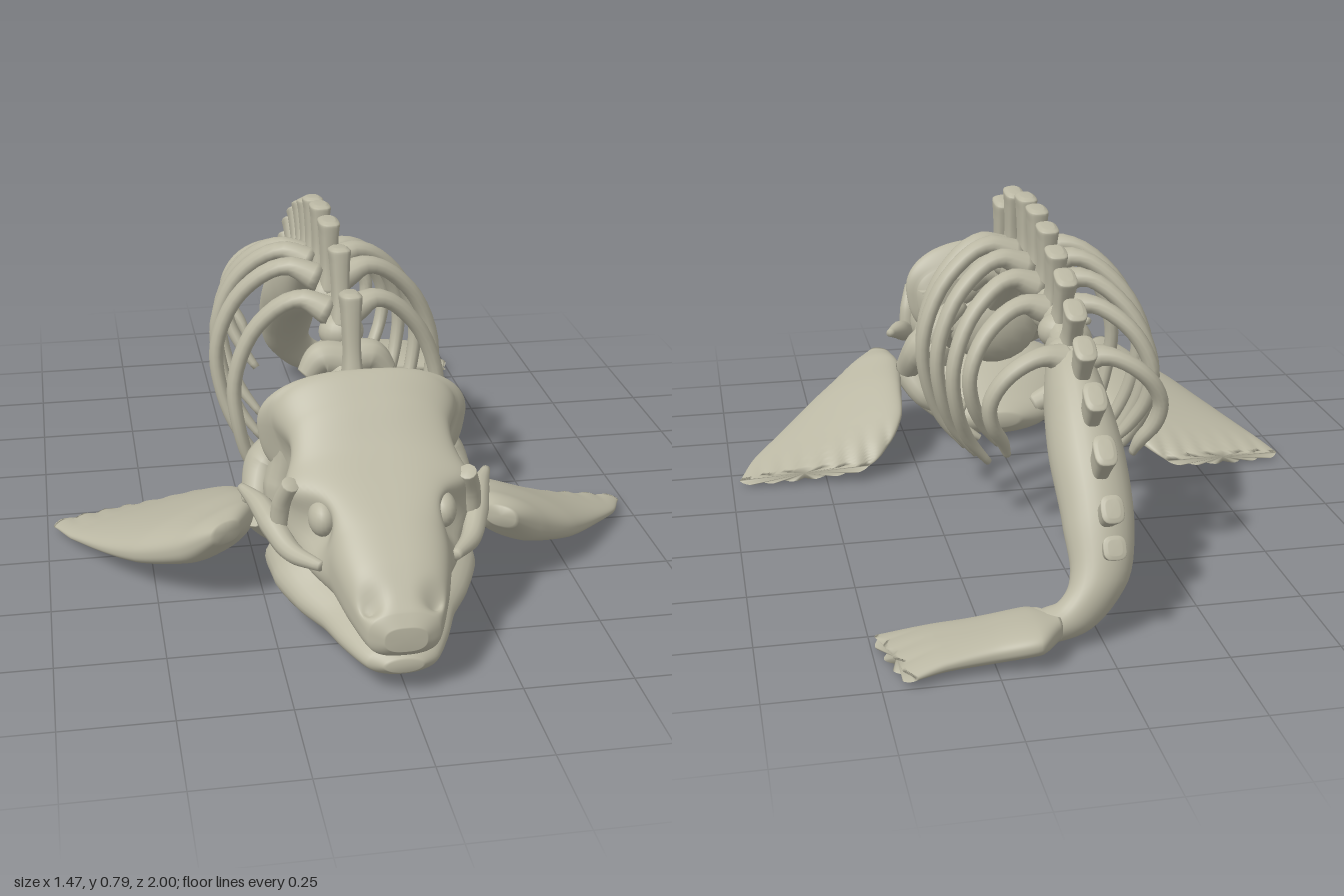
import * as THREE from 'three';

const V = (x, y, z) => new THREE.Vector3(x, y, z);
const SPINE_X = -0.02;

// Skin a closed surface over stations [centre, half-axis a, half-axis b], smoothed along its length
function loft(stations, { power = 2, sides = 24, steps = 32, deform = null } = {}) {
  const curves = [0, 1, 2].map(k => new THREE.CatmullRomCurve3(stations.map(s => s[k])));
  const at = (k, t) => curves[k].getPoint(t);
  const pos = [], index = [];
  for (let i = 0; i <= steps; i++) {
    const t = i / steps, c = at(0, t), a = at(1, t), b = at(2, t);
    for (let j = 0; j < sides; j++) {
      const th = j / sides * Math.PI * 2, cs = Math.cos(th), sn = Math.sin(th);
      const p = c.clone()
        .addScaledVector(a, Math.sign(cs) * Math.abs(cs) ** (2 / power))
        .addScaledVector(b, Math.sign(sn) * Math.abs(sn) ** (2 / power));
      if (deform) deform(p);
      pos.push(p.x, p.y, p.z);
    }
  }
  const m = Math.floor(stations.length / 2);
  const dir = stations[m][0].clone().sub(stations[m - 1][0]);
  const flip = stations[m][1].clone().cross(stations[m][2]).dot(dir) < 0;
  const tri = (a, b, c) => flip ? index.push(a, c, b) : index.push(a, b, c);
  for (let i = 0; i < steps; i++) for (let j = 0; j < sides; j++) {
    const k = (j + 1) % sides, p = i * sides, q = p + sides;
    tri(p + j, p + k, q + j);
    tri(p + k, q + k, q + j);
  }
  // end caps
  [0, steps].forEach(i => {
    const c = at(0, i / steps), n = pos.length / 3;
    pos.push(c.x, c.y, c.z);
    for (let j = 0; j < sides; j++) {
      const p = i * sides + j, q = i * sides + (j + 1) % sides;
      i ? tri(n, p, q) : tri(n, q, p);
    }
  });
  const g = new THREE.BufferGeometry();
  g.setAttribute('position', new THREE.Float32BufferAttribute(pos, 3));
  g.setIndex(index);
  g.computeVertexNormals();
  return g;
}

// Tapered bone along a path
function bone(points, radii, ref = V(0, 0, 1), flat = 1) {
  const curve = new THREE.CatmullRomCurve3(points), n = 14;
  const stations = [];
  for (let i = 0; i <= n; i++) {
    const t = i / n, tan = curve.getTangent(t);
    const a = tan.clone().cross(ref).normalize(), b = tan.clone().cross(a).normalize();
    const f = t * (radii.length - 1), k = Math.min(Math.floor(f), radii.length - 2);
    const r = THREE.MathUtils.lerp(radii[k], radii[k + 1], f - k);
    stations.push([curve.getPoint(t), a.multiplyScalar(r * flat), b.multiplyScalar(r)]);
  }
  return loft(stations, { sides: 12, steps: 28 });
}

export function createModel() {
  const model = new THREE.Group();
  const ivory = new THREE.MeshStandardMaterial({ color: 0xbab7a3 });
  ivory.name = 'bone ivory';
  const add = (name, geometry) => {
    const mesh = new THREE.Mesh(geometry, ivory);
    mesh.name = name;
    model.add(mesh);
    return mesh;
  };
  const ball = (name, x, y, z, sx, sy, sz) => {
    const mesh = add(name, new THREE.SphereGeometry(1, 20, 14));
    mesh.position.set(x, y, z);
    mesh.scale.set(sx, sy, sz);
  };

  // Head stations: z, half width, top, bottom
  const headStations = rows => rows.map(([z, w, t, b]) =>
    [V(-0.01, (t + b) / 2, z), V(w, 0, 0), V(0, (t - b) / 2, 0)]);
  const dent = (p, x, y, z, r, depth) => {
    const d = (p.x - x) ** 2 + (p.y - y) ** 2 + (p.z - z) ** 2;
    return depth * Math.exp(-d / (r * r));
  };
  add('skull', loft(headStations([
    [1, 0.045, 0.185, 0.13], [0.98, 0.08, 0.215, 0.11], [0.9, 0.115, 0.295, 0.12], [0.82, 0.14, 0.35, 0.14],
    [0.74, 0.2, 0.395, 0.165], [0.65, 0.225, 0.445, 0.19], [0.57, 0.215, 0.52, 0.22],
    [0.5, 0.225, 0.572, 0.27], [0.45, 0.225, 0.525, 0.3], [0.43, 0.205, 0.48, 0.32],
  ]), {
    power: 2.7, sides: 80, steps: 100,
    deform: p => [-1, 1].forEach(s => {
      p.x -= s * dent(p, s * 0.19 - 0.01, 0.31, 0.74, 0.065, 0.07);   // eye socket
      p.x -= s * dent(p, s * 0.22 - 0.01, 0.37, 0.55, 0.075, 0.05);   // temple
      p.x += s * dent(p, s * 0.2 - 0.01, 0.385, 0.71, 0.045, 0.03);   // brow
      p.y -= dent(p, s * 0.07 - 0.01, 0.23, 0.95, 0.025, 0.03);       // nostril
    }),
  }));
  add('lowerJaw', loft(headStations([
    [0.985, 0.04, 0.1, 0.07], [0.96, 0.08, 0.12, 0.052], [0.88, 0.122, 0.145, 0.045], [0.81, 0.15, 0.165, 0.045],
    [0.74, 0.195, 0.19, 0.045], [0.65, 0.235, 0.235, 0.043], [0.54, 0.24, 0.24, 0.027], [0.45, 0.2, 0.19, 0.022],
    [0.38, 0.14, 0.13, 0.03], [0.345, 0.05, 0.1, 0.06],
  ]), { sides: 40, steps: 56, power: 2 }));
  ball('skullBase', -0.01, 0.34, 0.46, 0.13, 0.12, 0.08);

  for (const s of [-1, 1]) {
    const X = x => s * x - 0.01;
    ball('eye', X(0.135), 0.32, 0.725, 0.032, 0.042, 0.045);
    add('cheekArch', bone([V(X(0.15), 0.24, 0.8), V(X(0.205), 0.24, 0.72), V(X(0.235), 0.27, 0.64), V(X(0.255), 0.29, 0.58), V(X(0.29), 0.305, 0.51)],
      [0.012, 0.024, 0.03, 0.026, 0.01], V(0, 1, 0)));
    add('eyeRim', bone([V(X(0.2), 0.39, 0.69), V(X(0.215), 0.33, 0.66), V(X(0.22), 0.27, 0.65)],
      [0.02, 0.024, 0.024], V(1, 0, 0)));
    add('jawHinge', bone([V(X(0.19), 0.45, 0.46), V(X(0.18), 0.36, 0.47), V(X(0.19), 0.28, 0.47), V(X(0.19), 0.18, 0.5)],
      [0.03, 0.035, 0.045, 0.03], V(0, 0, 1)));
    // shoulder girdle
    add('shoulderBlade', bone([V(X(0.1), 0.41, 0.42), V(X(0.17), 0.36, 0.39), V(X(0.22), 0.3, 0.38), V(X(0.25), 0.22, 0.45)],
      [0.03, 0.042, 0.055, 0.04], V(0, 0, 1), 0.85));
    add('shoulderSpur', bone([V(X(0.22), 0.29, 0.4), V(X(0.19), 0.29, 0.35), V(X(0.16), 0.29, 0.31)],
      [0.05, 0.045, 0.025], V(0, 1, 0)));
    add('collarBone', bone([V(X(0.25), 0.21, 0.45), V(X(0.2), 0.15, 0.41), V(X(0.1), 0.1, 0.4)],
      [0.04, 0.04, 0.03], V(0, 0, 1)));
  }

  // Backbone
  add('backbone', bone([V(-0.01, 0.39, 0.47), V(SPINE_X, 0.47, 0.36), V(SPINE_X, 0.55, 0.22), V(SPINE_X, 0.595, 0.04),
    V(SPINE_X, 0.6, -0.16), V(SPINE_X, 0.57, -0.34), V(SPINE_X, 0.49, -0.52)],
  [0.055, 0.05, 0.038, 0.036, 0.036, 0.038, 0.04], V(1, 0, 0)));

  // Vertebrae: base z, base y, tip z, tip y, half length
  const vertebrae = [
    [0.4, 0.49, 0.365, 0.715, 0.046], [0.24, 0.58, 0.21, 0.775, 0.045], [0.06, 0.61, 0.055, 0.797, 0.049],
    [-0.07, 0.62, -0.08, 0.797, 0.046], [-0.18, 0.61, -0.2, 0.78, 0.042], [-0.27, 0.59, -0.3, 0.745, 0.04],
    [-0.35, 0.57, -0.4, 0.71, 0.04], [-0.44, 0.54, -0.5, 0.66, 0.04], [-0.53, 0.48, -0.6, 0.6, 0.04],
    [-0.62, 0.41, -0.7, 0.52, 0.041], [-0.71, 0.33, -0.795, 0.43, 0.04], [-0.78, 0.26, -0.865, 0.32, 0.033],
    [-0.82, 0.2, -0.89, 0.24, 0.028],
  ];
  vertebrae.forEach(([z0, y0, z1, y1, h], i) => {
    const base = V(SPINE_X, y0, z0), tip = V(SPINE_X, y1, z1);
    const along = V(0, z1 - z0, y0 - y1).normalize();
    const row = [[0, 0.95, 0.028], [0.4, 0.8, 0.02], [0.8, 0.92, 0.023], [0.95, 0.96, 0.026], [1, 0.6, 0.015]];
    add('spinalProcess', loft(row.map(([t, k, w]) =>
      [base.clone().lerp(tip, t), V(w, 0, 0), along.clone().multiplyScalar(h * k)]), { power: 3, sides: 20, steps: 20 }));
    if (i < 8) ball('vertebra', SPINE_X, y0 - 0.01, z0, 0.055, 0.045, 0.05);
  });
  // Neck wings
  for (const s of [-1, 1]) for (const [z, y, w] of [[0.4, 0.46, 0.11], [0.31, 0.52, 0.1]])
    add('neckWing', bone([V(SPINE_X, y, z), V(SPINE_X + s * w * 0.6, y + 0.01, z), V(SPINE_X + s * w, y - 0.03, z + 0.01)],
      [0.045, 0.04, 0.025]));

  // Ribs: root z, root y, mid z, end z, end y, reach, how far the end stays out
  const ribs = [
    [0.22, 0.61, 0.165, 0.16, 0.1, 0.25, 0.42], [0.06, 0.64, -0.01, 0.03, 0.13, 0.275, 0.6], [-0.07, 0.64, -0.15, -0.08, 0.15, 0.26, 0.6],
    [-0.18, 0.62, -0.27, -0.19, 0.17, 0.24, 0.6], [-0.28, 0.59, -0.36, -0.3, 0.26, 0.215, 0.65], [-0.48, 0.53, -0.51, -0.455, 0.29, 0.195, 0.75],
  ];
  for (const s of [-1, 1]) for (const [z0, y0, zm, z1, y1, w, end] of ribs) {
    const skew = s * 0.025, d = y0 - y1;
    const P = (k, f, z) => V(SPINE_X + s * w * k, y0 - d * f, z + skew * Math.min(1, k * 1.2));
    add('rib', bone([P(0.08, 0, z0), P(0.38, -0.06, z0 - 0.02), P(0.78, 0.1, (z0 + zm) / 2 - 0.02),
      P(1, 0.38, zm), P(0.97, 0.62, zm + 0.01), P(0.82, 0.84, (zm + z1) / 2 + 0.01), P(end, 1, z1)],
    [0.05, 0.028, 0.026, 0.025, 0.023, 0.021, 0.013], V(0, 0, 1), 0.75));
  }

  // Tail trunk that bends sideways into the fluke
  add('tail', loft([
    [V(SPINE_X, 0.57, -0.31), V(0.03, 0, 0), V(0, 0.025, -0.01)],
    [V(SPINE_X, 0.5, -0.41), V(0.05, 0, 0), V(0, 0.085, 0)],
    [V(-0.015, 0.45, -0.51), V(0.07, 0, 0), V(0, 0.09, -0.045)],
    [V(-0.015, 0.35, -0.65), V(0.085, 0, 0), V(0, 0.065, -0.06)],
    [V(-0.015, 0.24, -0.76), V(0.08, 0, 0), V(0, 0.045, -0.055)],
    [V(0, 0.14, -0.83), V(0.065, 0.01, 0), V(0, 0.025, -0.05)],
    [V(0.06, 0.075, -0.86), V(0.035, 0.035, 0), V(0, 0.01, -0.045)],
    [V(0.13, 0.06, -0.87), V(0, 0.035, 0), V(0, 0, -0.05)],
    [V(0.19, 0.055, -0.88), V(0, 0.02, 0), V(0, 0, -0.05)],
  ], { sides: 28, steps: 48 }));

  // Paddles: each row is lead x y z, trail x y z, half thickness; the tip edge is scalloped
  function paddle(name, rows, lobes) {
    const ends = rows.map(r => [V(r[0], r[1], r[2]), V(r[3], r[4], r[5]), r[6]]);
    const [lead, trail] = ends[ends.length - 1], chord = trail.clone().sub(lead);
    const out = V(chord.z, 0, -chord.x).normalize();
    if (out.dot(lead.clone().sub(ends[0][0])) < 0) out.negate();
    const scallop = p => {
      const q = p.clone().sub(lead), v = q.dot(chord) / chord.lengthSq();
      const near = Math.max(0, 1 + q.dot(out) / 0.1);
      p.addScaledVector(out, 0.018 * Math.min(1, near) * Math.abs(Math.sin(Math.PI * lobes * v)));
    };
    add(name, loft(ends.map(([l, t, h]) =>
      [l.clone().add(t).multiplyScalar(0.5), l.clone().sub(t).multiplyScalar(0.5), V(0, h, 0)]),
    { power: 2.4, sides: 96, steps: 40, deform: scallop }));
  }
  paddle('leftFlipper', [
    [0.33, 0.215, 0.605, 0.27, 0.215, 0.56, 0.025], [0.42, 0.155, 0.545, 0.255, 0.2, 0.48, 0.055], [0.52, 0.105, 0.47, 0.27, 0.185, 0.36, 0.05],
    [0.61, 0.07, 0.37, 0.285, 0.145, 0.255, 0.036], [0.69, 0.042, 0.27, 0.33, 0.095, 0.19, 0.024], [0.73, 0.025, 0.18, 0.39, 0.05, 0.155, 0.013],
  ], 6);
  paddle('rightFlipper', [
    [-0.37, 0.215, 0.575, -0.31, 0.215, 0.545, 0.025], [-0.45, 0.155, 0.525, -0.26, 0.2, 0.44, 0.055], [-0.55, 0.105, 0.43, -0.26, 0.185, 0.33, 0.05],
    [-0.63, 0.07, 0.31, -0.285, 0.145, 0.2, 0.036], [-0.695, 0.042, 0.19, -0.335, 0.095, 0.1, 0.024], [-0.735, 0.025, 0.09, -0.41, 0.045, 0.04, 0.013],
  ], 6);
  paddle('tailFluke', [
    [0.1, 0.07, -0.92, 0.11, 0.055, -0.83, 0.03], [0.16, 0.07, -0.99, 0.17, 0.055, -0.79, 0.035], [0.26, 0.055, -0.98, 0.28, 0.04, -0.785, 0.033],
    [0.36, 0.045, -0.985, 0.38, 0.035, -0.78, 0.026], [0.43, 0.033, -1, 0.48, 0.028, -0.78, 0.016],
  ], 4);
  return model;
}
